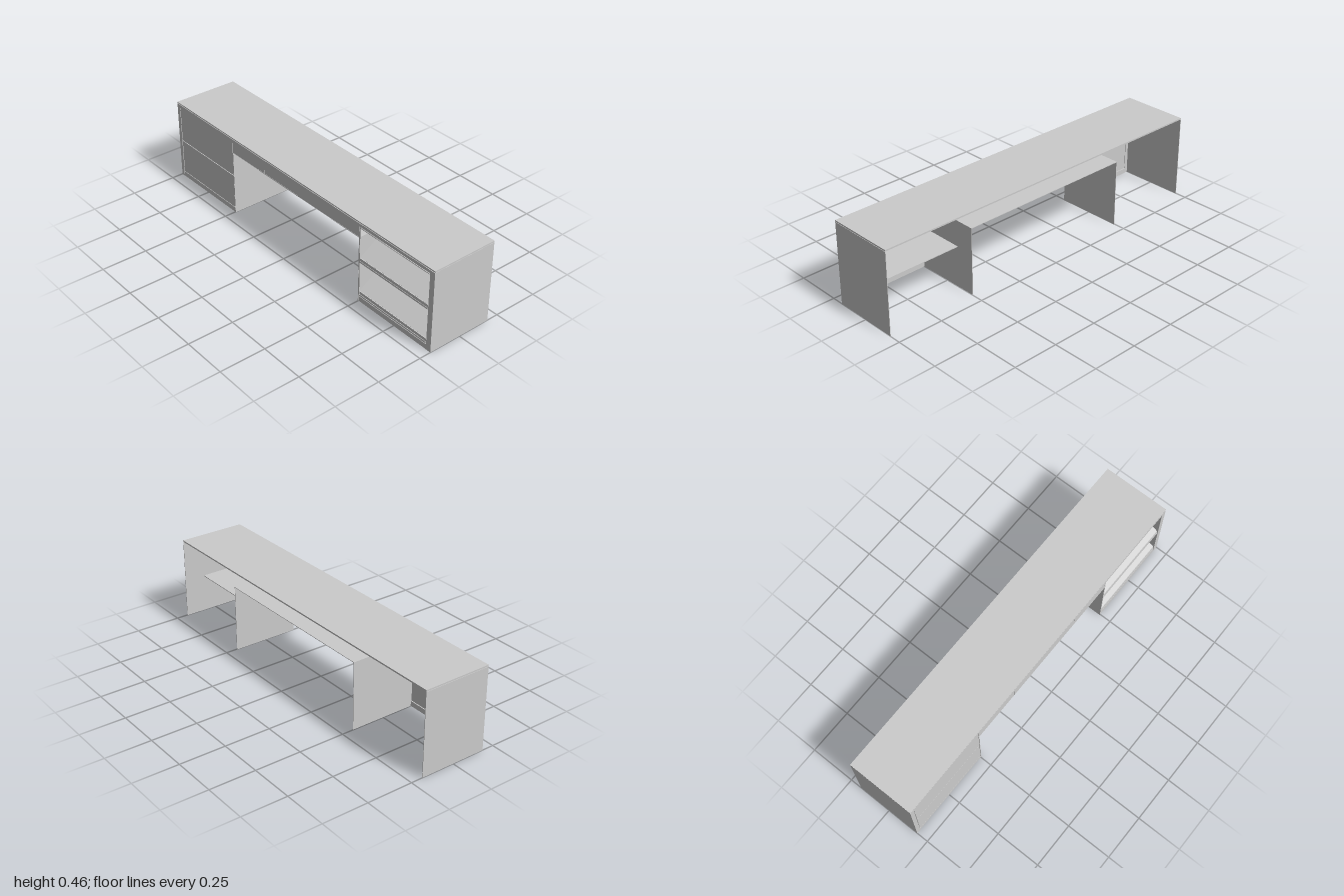
import * as THREE from 'three';

const material = new THREE.MeshStandardMaterial({ color: 0xcccccc, flatShading: true, side: THREE.DoubleSide });

// Box given by its lower and upper limits on each axis
function slab(parent, name, [x0, x1], [y0, y1], [z0, z1]) {
  const mesh = new THREE.Mesh(new THREE.BoxGeometry(x1 - x0, y1 - y0, z1 - z0), material);
  mesh.position.set((x0 + x1) / 2, (y0 + y1) / 2, (z0 + z1) / 2);
  mesh.name = name;
  parent.add(mesh);
  return mesh;
}

// Thin board spanning x0..x1 between two (z, y) points
function slopedBoard(parent, name, [x0, x1], [za, ya], [zb, yb]) {
  const length = Math.hypot(zb - za, yb - ya);
  const mesh = new THREE.Mesh(new THREE.BoxGeometry(x1 - x0, 0.003, length), material);
  mesh.position.set((x0 + x1) / 2, (ya + yb) / 2, (za + zb) / 2);
  mesh.rotation.x = -Math.atan2(yb - ya, zb - za);
  mesh.name = name;
  parent.add(mesh);
}

export function createModel() {
  const desk = new THREE.Group();
  desk.name = 'desk';
  const FRONT = 0.185;
  const BACK = -0.185;
  const depth = [BACK, FRONT];
  const face = [FRONT - 0.006, FRONT - 0.001];

  // Worktop in two layers, with a rail under its front edge
  slab(desk, 'worktop', [-1, 1], [0.453, 0.457], depth);
  slab(desk, 'worktopUnderside', [-1, 1], [0.449, 0.453], [BACK, FRONT - 0.001]);
  slab(desk, 'topRail', [-1, 1], [0.43, 0.447], [FRONT - 0.006, FRONT]);

  // Outer and inner side panels with front stiles
  for (const s of [-1, 1]) {
    const span = (a, b) => (s > 0 ? [a, b] : [-b, -a]);
    slab(desk, 'outerPanel', span(0.997, 1), [0, 0.447], depth);
    slab(desk, 'innerPanel', span(0.496, 0.499), [0, 0.368], depth);
    slab(desk, 'frontStile', span(s > 0 ? 0.97 : 0.977, 0.997), [0, 0.43], [FRONT - 0.006, FRONT]);
    slab(desk, 'plinth', span(0.499, 0.977), [0, 0.028], [FRONT - 0.008, FRONT - 0.001]);
  }

  // Closed drawer fronts in the right pedestal
  for (const [y0, y1] of [[0.031, 0.225], [0.229, 0.429]]) {
    slab(desk, 'drawerFront', [-0.974, -0.501], [y0, y1], face);
  }

  // Open sloped display shelves in the left pedestal
  const width = [0.502, 0.966];
  for (const y of [0.058, 0.252]) {
    const top = y + 0.168;
    slopedBoard(desk, 'slopedShelf', width, [FRONT - 0.006, y], [-0.08, top]);
    slab(desk, 'shelfTop', width, [top, top + 0.004], [-0.085, FRONT - 0.002]);
    slab(desk, 'shelfLip', width, [y - 0.016, y], [FRONT - 0.009, FRONT - 0.002]);
  }
  slab(desk, 'bottomRail', width, [0.031, 0.04], face);
  slab(desk, 'middleRail', width, [0.226, 0.235], face);
  slab(desk, 'innerStile', [0.496, 0.504], [0, 0.43], face);

  // Shallow centre drawers over a full-depth bottom board
  slab(desk, 'centreDrawerBottom', [-0.499, 0.499], [0.366, 0.369], [BACK, FRONT - 0.001]);
  const splits = [-0.498, -0.228, 0.25, 0.496];
  for (let i = 0; i < 3; i++) {
    slab(desk, 'centreDrawerFront', [splits[i] + 0.001, splits[i + 1] - 0.001], [0.37, 0.429], face);
  }

  return desk;
}
